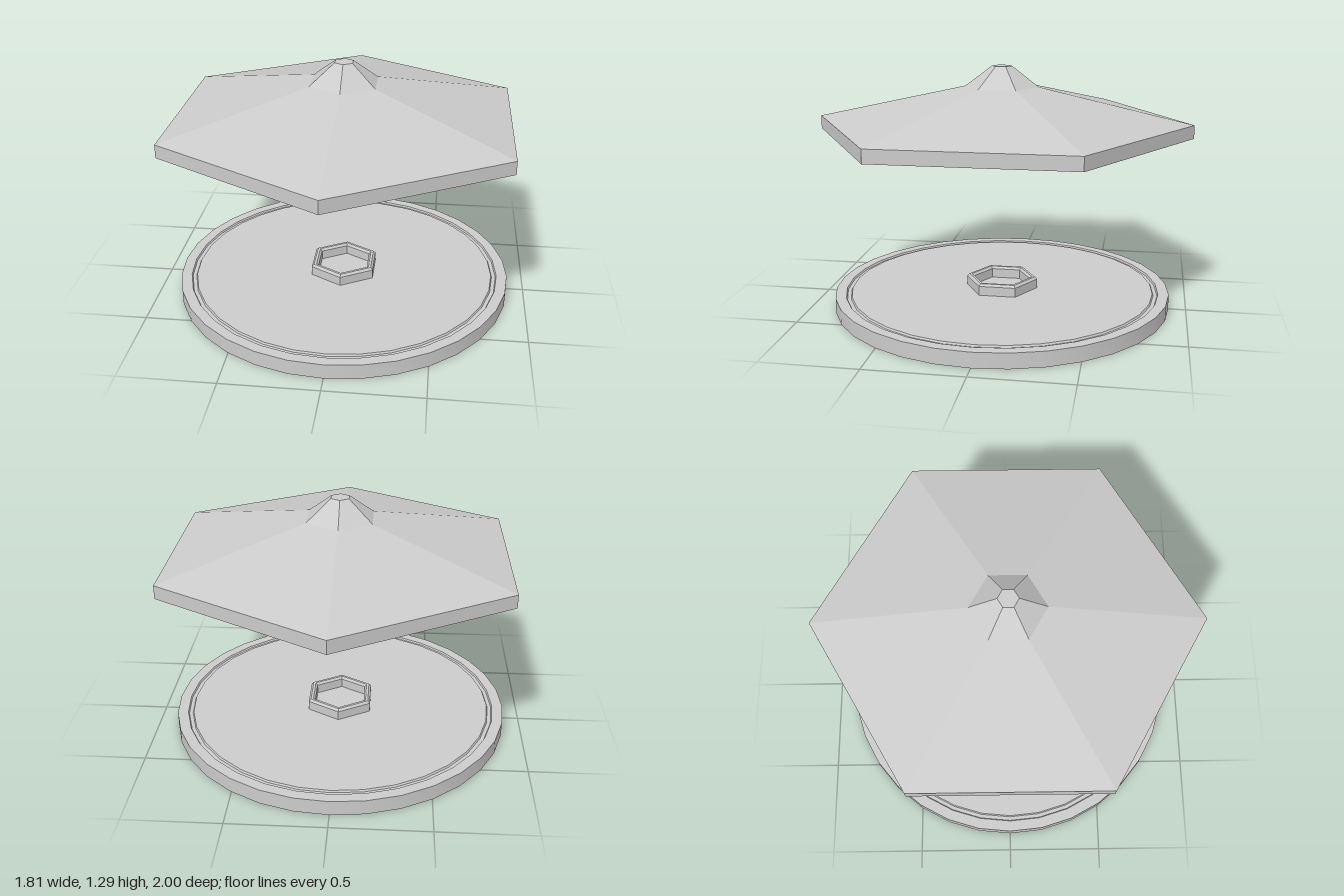
import * as THREE from 'three';
import { toCreasedNormals } from 'three/addons/utils/BufferGeometryUtils.js';

// Revolve a [radius, height] profile, listed from the underside outward and up
function turned(name, profile, sides, material) {
  const points = profile.map(([r, y]) => new THREE.Vector2(r, y));
  const geometry = toCreasedNormals(new THREE.LatheGeometry(points, sides), 0.4);
  const mesh = new THREE.Mesh(geometry, material);
  mesh.name = name;
  return mesh;
}

export function createModel() {
  const model = new THREE.Group();
  model.name = 'hexCanopyAndBase';
  const solid = new THREE.MeshStandardMaterial({ color: 0xcccccc, flatShading: true });
  const shell = new THREE.MeshStandardMaterial({ color: 0xcccccc, side: THREE.DoubleSide });

  // Round base: shell open underneath, with a shallow groove in its top
  model.add(turned('baseDisc', [
    [0.907, 0], [0.907, 0.08],
    [0.85, 0.08], [0.845, 0.07], [0.825, 0.07], [0.82, 0.08],
    [0, 0.08],
  ], 32, shell));

  // Hollow hexagonal socket with bevelled lip
  model.add(turned('baseSocket', [
    [0.195, 0.08], [0.195, 0.13], [0.182, 0.142],
    [0.167, 0.142], [0.155, 0.13], [0.155, 0.08],
  ], 6, solid));

  // Hexagonal canopy: grooved underside, upright rim, sloping roof
  model.add(turned('canopy', [
    [0.525, 0.935],
    [0.925, 0.935], [0.928, 0.942], [0.952, 0.942], [0.955, 0.935],
    [1, 0.935], [1, 1.005], [0.195, 1.185],
  ], 6, solid));

  // Steeper cap with a flat tip
  model.add(turned('canopyCap', [
    [0.195, 1.185], [0.053, 1.293], [0, 1.293],
  ], 6, solid));

  // Tapered boss hanging below the canopy
  model.add(turned('canopyBoss', [
    [0, 0.87], [0.278, 0.87], [0.525, 0.935],
  ], 6, solid));

  return model;
}
